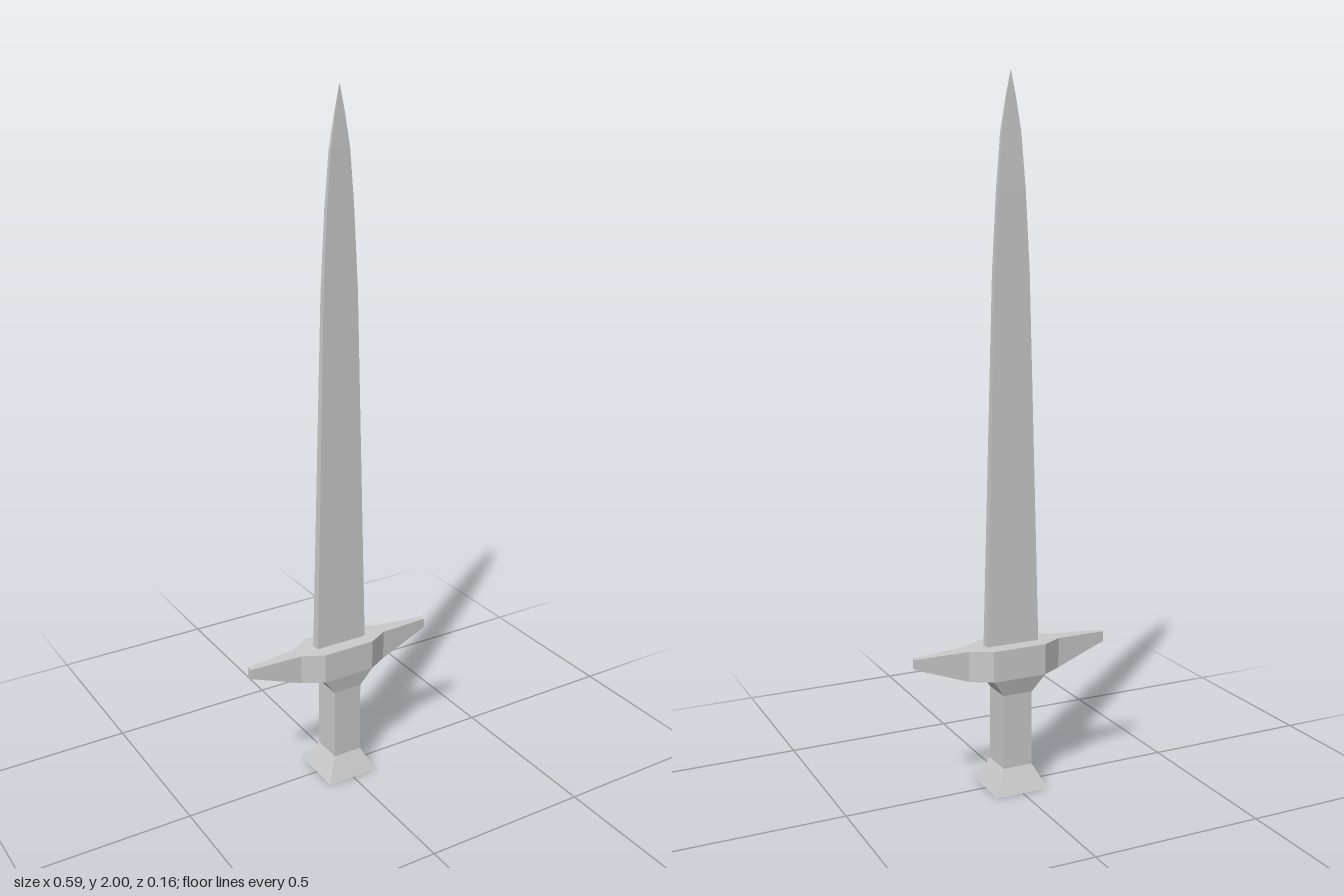
import * as THREE from 'three';

const material = new THREE.MeshStandardMaterial({ color: 0xcccccc, flatShading: true });

// Skins a row of four-cornered rings (counter-clockwise seen from the row's end) and caps both ends.
function loft(name, rings) {
  const pos = [];
  const quad = (a, b, c, d) => pos.push(...a, ...b, ...c, ...a, ...c, ...d);
  for (let i = 0; i < rings.length - 1; i++) {
    for (let k = 0; k < 4; k++) {
      const n = (k + 1) % 4;
      quad(rings[i][k], rings[i][n], rings[i + 1][n], rings[i + 1][k]);
    }
  }
  const first = rings[0], last = rings[rings.length - 1];
  quad(first[3], first[2], first[1], first[0]);
  quad(...last);
  const geometry = new THREE.BufferGeometry();
  geometry.setAttribute('position', new THREE.Float32BufferAttribute(pos, 3));
  geometry.computeVertexNormals();
  const mesh = new THREE.Mesh(geometry, material);
  mesh.name = name;
  return mesh;
}

// Horizontal ring at height y: half width, half depth, depth offset
const level = ([y, w, d, z = 0]) => [[-w, y, z + d], [w, y, z + d], [w, y, z - d], [-w, y, z - d]];

// Upright ring at position x: bottom, top, half depth
const slice = ([x, y0, y1, d, z = -0.002]) => [[x, y0, z + d], [x, y0, z - d], [x, y1, z - d], [x, y1, z + d]];

export function createModel() {
  const group = new THREE.Group();
  group.name = 'dagger';

  // Flared pommel, square grip and the collar under the guard
  group.add(loft('pommel', [[0, 0.08, 0.08], [0.068, 0.044, 0.046]].map(level)));
  group.add(loft('grip', [[0.068, 0.044, 0.046], [0.285, 0.044, 0.046]].map(level)));
  group.add(loft('collar', [[0.285, 0.044, 0.046], [0.335, 0.08, 0.057, -0.003]].map(level)));

  // Crossguard: half profile from the centre block to the tip, mirrored
  const half = [
    [0.08, 0.335, 0.424, 0.057, -0.003],
    [0.14, 0.335, 0.423, 0.023],
    [0.296, 0.389, 0.418, 0.009],
  ];
  const mirrored = half.map(([x, ...rest]) => [-x, ...rest]).reverse();
  group.add(loft('crossguard', [...mirrored, ...half].map(slice)));

  // Tapering blade that curves in to a point
  const blade = [
    [0.42, 0.08, 0.0135, -0.002],
    [1.47, 0.053, 0.008, -0.001],
    [1.69, 0.041, 0.007, -0.001],
    [1.84, 0.029, 0.005],
    [1.93, 0.0145, 0.0025],
    [2, 0.0003, 0.0003],
  ];
  group.add(loft('blade', blade.map(level)));
  return group;
}
